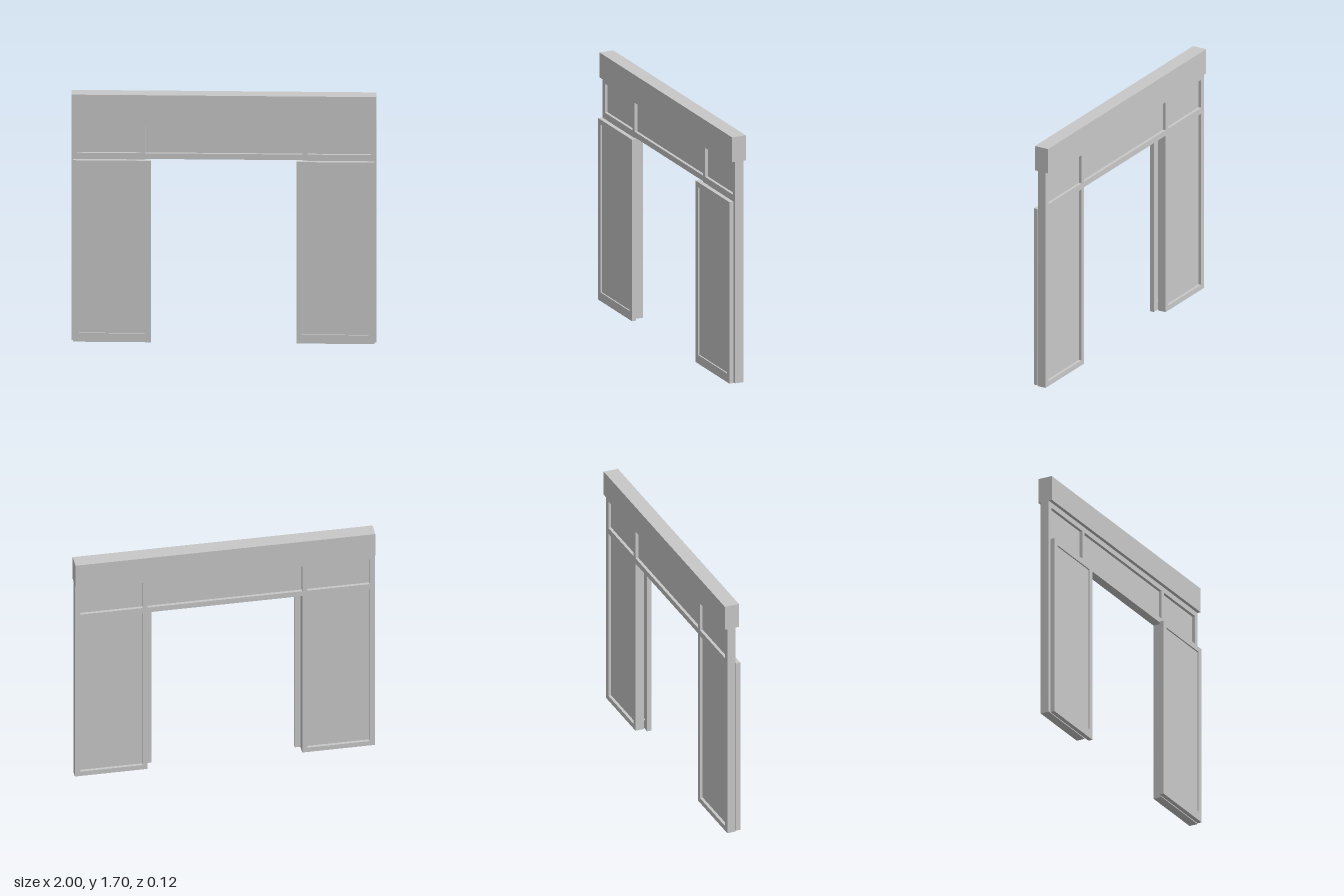
import * as THREE from 'three';

const grey = new THREE.MeshStandardMaterial({ color: 0xc8c8c8 });
grey.name = 'light grey';

// Closed loop for a rectangle, usable as outline or hole
function rect(Type, [x0, y0, x1, y1]) {
  return new Type([[x0, y0], [x1, y0], [x1, y1], [x0, y1]].map(p => new THREE.Vector2(...p)));
}

// Box given by its limits
function box(name, [x0, y0, x1, y1], z0, z1) {
  const mesh = new THREE.Mesh(new THREE.BoxGeometry(x1 - x0, y1 - y0, z1 - z0), grey);
  mesh.position.set((x0 + x1) / 2, (y0 + y1) / 2, (z0 + z1) / 2);
  mesh.name = name;
  return mesh;
}

// Frame with openings, each filled by a panel recessed on both sides
function panelled(name, shape, openings, z0, z1, recess) {
  const group = new THREE.Group();
  group.name = name;
  shape.holes = openings.map(o => rect(THREE.Path, o));
  const geometry = new THREE.ExtrudeGeometry(shape, { depth: z1 - z0, bevelEnabled: false });
  geometry.translate(0, 0, z0);
  const frame = new THREE.Mesh(geometry, grey);
  frame.name = name + 'Frame';
  group.add(frame);
  for (const o of openings) group.add(box(name + 'Panel', o, z0 + recess, z1 - recess));
  return group;
}

const mirror = ([x0, y0, x1, y1]) => [-x1, y0, -x0, y1];

export function createModel() {
  const model = new THREE.Group();
  model.name = 'slidingDoorPortal';

  // Header beam
  model.add(box('header', [-1, 1.528, 1, 1.7], -0.056, 0.045));

  // Fixed wall: two side bays and a transom over the doorway
  const outline = new THREE.Shape([
    [-1, 0], [-0.516, 0], [-0.516, 1.253], [0.516, 1.253],
    [0.516, 0], [1, 0], [1, 1.528], [-1, 1.528],
  ].map(p => new THREE.Vector2(...p)));
  const transom = [0.548, 1.292, 0.965, 1.491];
  const bay = [0.548, 0.035, 0.965, 1.249];
  const openings = [[-0.516, 1.292, 0.516, 1.491], transom, mirror(transom), bay, mirror(bay)];
  model.add(panelled('wall', outline, openings, -0.038, 0.022, 0.02));

  // Sliding doors, standing open in front of the bays
  const leaf = [0.478, 0, 0.99, 1.252];
  const inset = [0.515, 0.06, 0.95, 1.217];
  model.add(panelled('leftDoor', rect(THREE.Shape, leaf), [inset], 0.029, 0.059, 0.01));
  model.add(panelled('rightDoor', rect(THREE.Shape, mirror(leaf)), [mirror(inset)], 0.029, 0.059, 0.01));

  return model;
}
